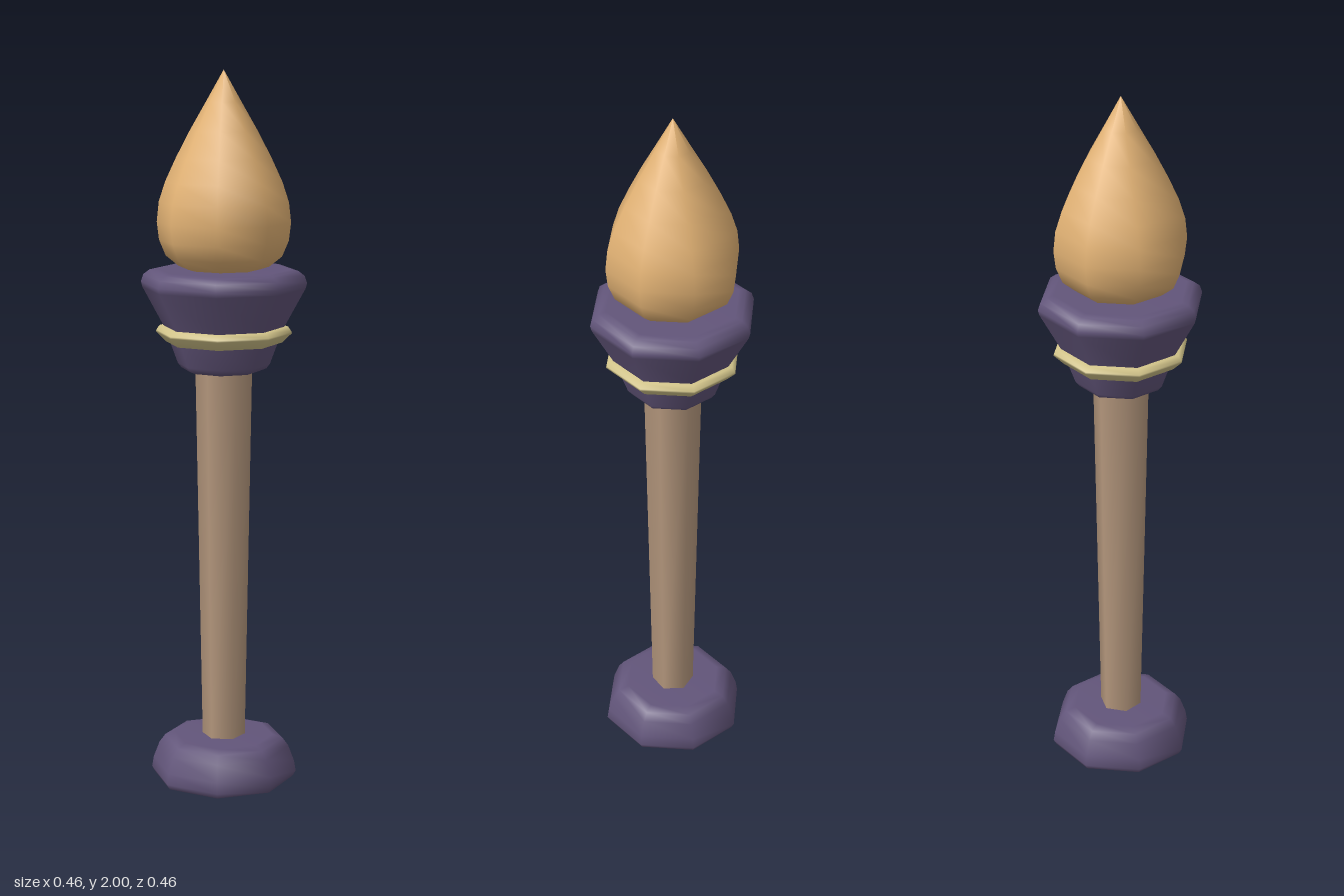
import * as THREE from 'three';

const mat = (name, color) => {
  const m = new THREE.MeshStandardMaterial({ color });
  m.name = name;
  return m;
};

export function createModel() {
  const purple = mat('dusky purple', 0x62557a);
  const wood = mat('pale wood', 0xb3967c);
  const brass = mat('pale brass', 0xd2c48a);
  const amber = mat('amber flame', 0xe2b274);
  const group = new THREE.Group();

  // Eight-sided turned part from [radius, height] pairs, bottom to top
  const turned = (name, profile, material) => {
    const points = profile.map(([r, y]) => new THREE.Vector2(r, y));
    const mesh = new THREE.Mesh(new THREE.LatheGeometry(points, 8), material);
    mesh.name = name;
    group.add(mesh);
  };

  // Rounded foot
  turned('base', [[0, 0], [0.185, 0], [0.198, 0.004], [0.207, 0.02], [0.202, 0.05],
    [0.185, 0.095], [0.168, 0.118], [0.14, 0.127], [0, 0.127]], purple);

  // Six-sided shaft, widening upwards
  const shaft = new THREE.Mesh(
    new THREE.CylinderGeometry(0.079, 0.06, 1.1, 6, 1, false, Math.PI / 2), wood);
  shaft.name = 'shaft';
  shaft.position.y = 0.65;
  group.add(shaft);

  // Flared cup with a softened rim
  turned('cup', [[0, 1.18], [0.1, 1.18], [0.118, 1.187], [0.128, 1.2], [0.148, 1.255],
    [0.168, 1.305], [0.225, 1.41], [0.229, 1.425], [0.222, 1.445], [0.205, 1.458],
    [0.185, 1.462], [0, 1.462]], purple);

  // Band around the cup
  turned('band', [[0.14, 1.257], [0.162, 1.26], [0.188, 1.286], [0.187, 1.291],
    [0.178, 1.304], [0.15, 1.304]], brass);

  // Teardrop flame
  turned('flame', [[0, 1.452], [0.08, 1.455], [0.125, 1.469], [0.16, 1.497], [0.178, 1.54],
    [0.184, 1.59], [0.178, 1.645], [0.16, 1.7], [0.13, 1.765], [0.092, 1.838],
    [0.048, 1.915], [0, 2]], amber);

  return group;
}
